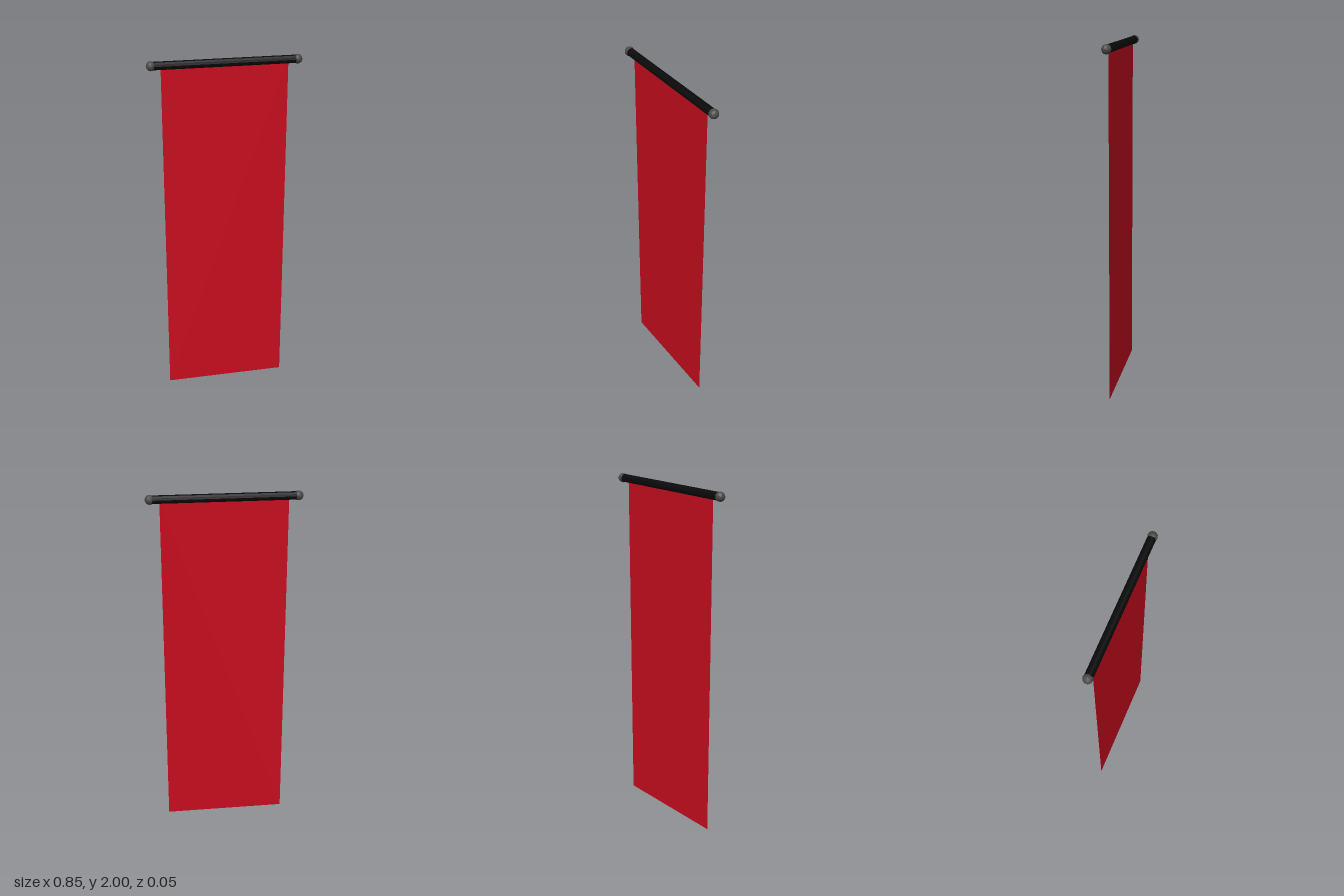
import * as THREE from 'three';

const ROD_Y = 1.973;

export function createModel() {
  const group = new THREE.Group();
  const add = (name, geometry, material, x, y) => {
    const mesh = new THREE.Mesh(geometry, material);
    mesh.name = name;
    mesh.position.set(x, y, 0);
    group.add(mesh);
    return mesh;
  };

  const cloth = new THREE.MeshStandardMaterial({ color: 0xc80d1e, side: THREE.DoubleSide });
  const rodPaint = new THREE.MeshStandardMaterial({ color: 0x0a0a0a, flatShading: true });
  const metal = new THREE.MeshStandardMaterial({ color: 0x4a4a4a, flatShading: true });

  // Thin cloth hanging from the middle of the rod
  add('bannerCloth', new THREE.PlaneGeometry(0.698, ROD_Y), cloth, 0, ROD_Y / 2);

  // Horizontal rod
  const rod = add('rod', new THREE.CylinderGeometry(0.023, 0.023, 0.8, 12), rodPaint, 0, ROD_Y);
  rod.rotation.z = Math.PI / 2;

  // Faceted knob on each end of the rod
  for (const side of [-1, 1]) {
    add(side > 0 ? 'leftFinial' : 'rightFinial',
      new THREE.IcosahedronGeometry(0.027, 1), metal, side * 0.4, ROD_Y);
  }

  return group;
}
